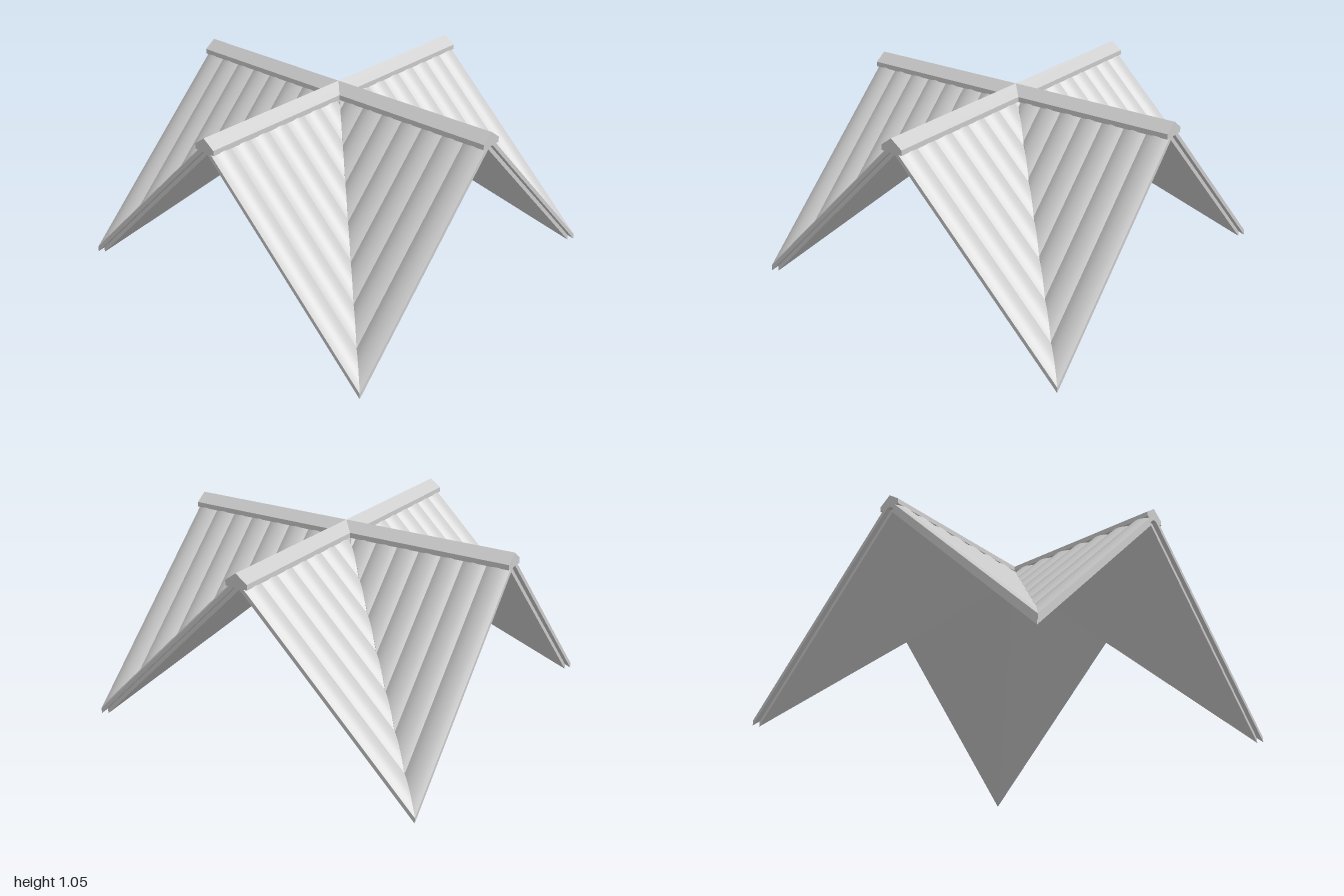
import * as THREE from 'three';
import { toCreasedNormals } from 'three/addons/utils/BufferGeometryUtils.js';

const HALF_X = 0.98, HALF_Z = 1.0; // half lengths of the two ridges
const DROP = 0.98;                 // height lost from ridge to corner tip
const BOARD = 0.13;                // board width along the ridge

const material = new THREE.MeshStandardMaterial({ color: 0xcccccc });

// Slab running down one slope from the ridge (v = 0) to the valley diagonal,
// covering u0..u1 along the ridge. bulge is the height of its rounded top.
function slopeSlab(slope, u0, u1, top, bottom, bulge) {
  const { length, reach, alongZ, sx, sz } = slope;
  const steps = bulge ? 8 : 1;
  const flip = sx * sz * (alongZ ? -1 : 1) < 0;
  const point = (u, v, y) => alongZ ? [sx * v, y, sz * u] : [sx * u, y, sz * v];
  const rings = [];
  for (let i = 0; i <= steps; i++) {
    const t = i / steps, u = u0 + (u1 - u0) * t;
    const v = reach * u / length, fall = DROP * u / length;
    const y = top + bulge * 4 * t * (1 - t);
    rings.push([point(u, 0, y), point(u, v, y - fall), point(u, v, bottom - fall), point(u, 0, bottom)]);
  }
  const positions = [];
  const quad = (a, b, c, d) => {
    const order = flip ? [a, c, b, a, d, c] : [a, b, c, a, c, d];
    order.forEach((p) => positions.push(...p));
  };
  for (let i = 0; i < steps; i++) {
    const r = rings[i], s = rings[i + 1];
    for (let k = 0; k < 4; k++) quad(r[k], r[(k + 1) % 4], s[(k + 1) % 4], s[k]);
  }
  const [a, b, c, d] = rings[0];
  quad(d, c, b, a);
  quad(...rings[steps]);
  const geometry = new THREE.BufferGeometry();
  geometry.setAttribute('position', new THREE.Float32BufferAttribute(positions, 3));
  return toCreasedNormals(geometry, 0.5);
}

function addMesh(parent, geometry, name) {
  const mesh = new THREE.Mesh(geometry, material);
  mesh.name = name;
  parent.add(mesh);
  return mesh;
}

// One triangular roof slope: flat underlay plate plus rounded boards
function createSlope(slope) {
  const group = new THREE.Group();
  group.name = 'roofSlope';
  const { length } = slope;
  addMesh(group, slopeSlab(slope, 0.005, length * 0.975, 0.987, 0.955, 0), 'underlay');
  for (let u = length; u > 0.03; u -= BOARD) {
    addMesh(group, slopeSlab(slope, Math.max(0.01, u - BOARD), u, 1.015, 0.985, 0.025), 'roofBoard');
  }
  return group;
}

// Peaked beam capping a ridge, centred along z
function createRidgeCap(halfLength) {
  const profile = new THREE.Shape([
    [0, 1.047], [-0.065, 1.0], [-0.065, 0.972], [0.065, 0.972], [0.065, 1.0],
  ].map(([x, y]) => new THREE.Vector2(x, y)));
  const geometry = new THREE.ExtrudeGeometry(profile, { depth: 2 * halfLength, bevelEnabled: false });
  return geometry.translate(0, 0, -halfLength);
}

export function createModel() {
  const model = new THREE.Group();
  model.name = 'crossGableRoof';

  // Four gables with two mirrored slopes each
  for (const alongZ of [false, true]) {
    const length = alongZ ? HALF_Z : HALF_X;
    const reach = alongZ ? HALF_X : HALF_Z;
    for (const sx of [1, -1]) {
      for (const sz of [1, -1]) model.add(createSlope({ length, reach, alongZ, sx, sz }));
    }
  }

  // Crossing ridge caps
  addMesh(model, createRidgeCap(HALF_Z), 'ridgeCapFrontToBack');
  addMesh(model, createRidgeCap(HALF_X), 'ridgeCapSideToSide').rotation.y = Math.PI / 2;

  return model;
}
